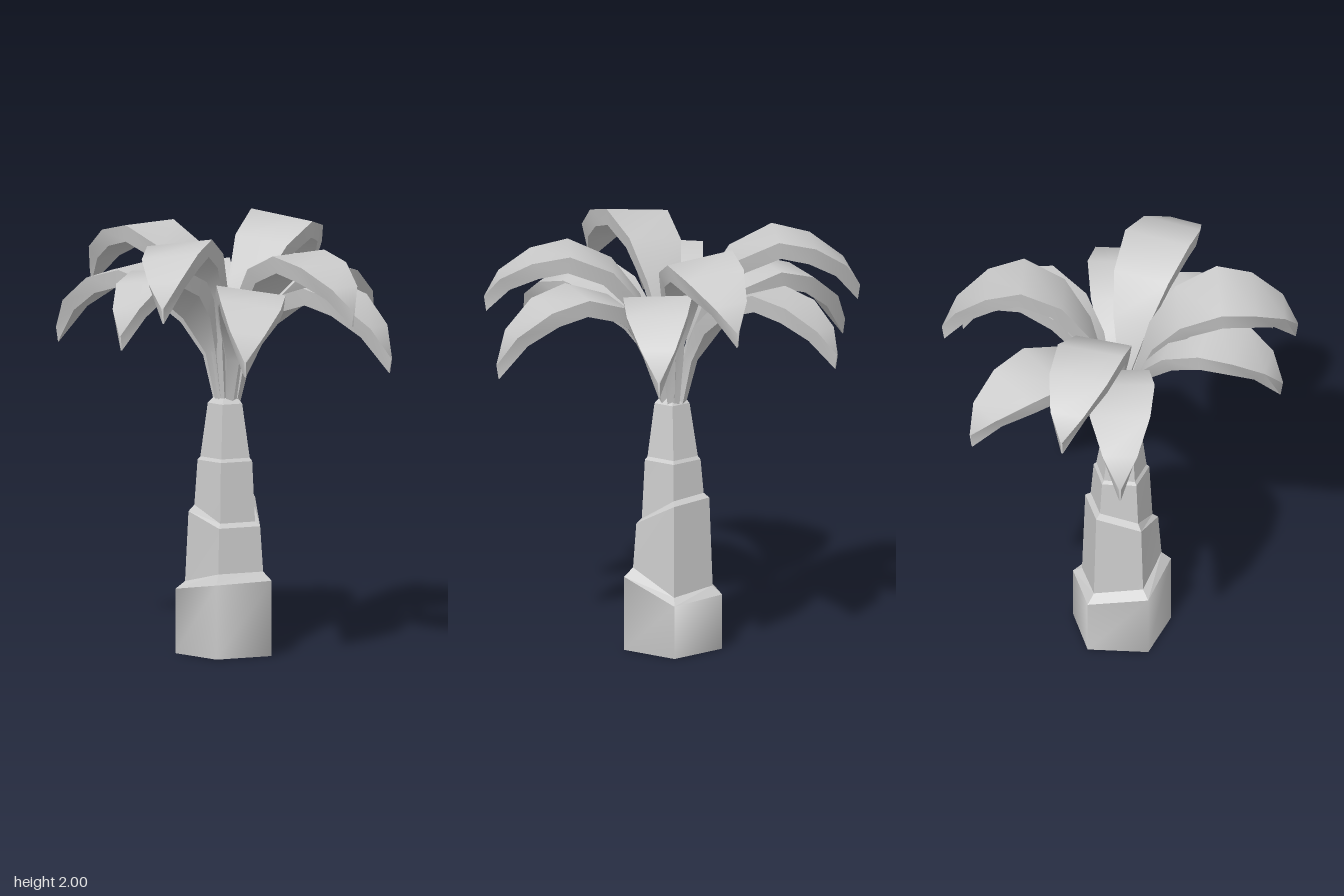
import * as THREE from 'three';
import { toCreasedNormals } from 'three/addons/utils/BufferGeometryUtils.js';

const material = new THREE.MeshStandardMaterial({ color: 0xcccccc });

// Joins closed rings (counter-clockwise about the direction of travel) and caps both ends
function loft(rings, crease) {
  const n = rings[0].length;
  const index = [];
  for (let i = 0; i < rings.length - 1; i++) {
    for (let j = 0; j < n; j++) {
      const k = (j + 1) % n;
      const a = i * n + j, b = i * n + k, c = a + n, d = b + n;
      index.push(a, b, d, a, d, c);
    }
  }
  const last = (rings.length - 1) * n;
  for (let j = 1; j < n - 1; j++) {
    index.push(0, j + 1, j, last, last + j, last + j + 1);
  }
  const geometry = new THREE.BufferGeometry().setFromPoints(rings.flat());
  geometry.setIndex(index);
  return toCreasedNormals(geometry, crease);
}

function addMesh(parent, name, geometry) {
  const mesh = new THREE.Mesh(geometry, material);
  mesh.name = name;
  parent.add(mesh);
  return mesh;
}

// Five-sided trunk ring with its own height at each corner
function trunkRing(radius, heights, cz = 0.004) {
  return [4, -68, -140, -212, -284].map((deg, i) => {
    const a = THREE.MathUtils.degToRad(deg);
    const y = Array.isArray(heights) ? heights[i] : heights;
    return new THREE.Vector3(radius * Math.cos(a), y, cz + radius * Math.sin(a));
  });
}

// Arched frond along +x: narrow stem, broad blade, pointed tip; bow curves it sideways
function frondGeometry(reach, peak, tip, roll, bow) {
  const foot = 1.14;
  const rise = peak - foot;
  const drop = peak - tip;
  // distance out, height, half width, thickness
  const stations = [
    [0.02, foot, 0.015, 0.035],
    [0.08, foot + rise * 0.4, 0.032, 0.04],
    [0.17, foot + rise * 0.68, 0.088, 0.06],
    [0.32, foot + rise * 0.89, 0.135, 0.075],
    [0.55, peak, 0.16, 0.08],
    [0.75, peak - drop * 0.16, 0.14, 0.08],
    [0.92, peak - drop * 0.55, 0.08, 0.07],
    [1, peak - drop, 0.004, 0.07],
  ];
  const spine = stations.map(([f, y]) => new THREE.Vector2(f * reach, y));
  const end = spine.length - 1;
  const rings = stations.map(([f, , w, t], i) => {
    const p = spine[i];
    // The tip is cut off upright
    const along = i === end
      ? new THREE.Vector2(1, -0.15).normalize()
      : spine[i + 1].clone().sub(spine[Math.max(i - 1, 0)]).normalize();
    const side = bow * Math.sin(Math.PI * f);
    const corner = (depth, z) => new THREE.Vector3(
      p.x + along.y * depth, p.y - along.x * depth - z * roll, z + side);
    return [corner(0, -w), corner(0, w), corner(t, w * 0.93), corner(t, -w * 0.93)];
  });
  return loft(rings, 0.75);
}

export function createModel() {
  const group = new THREE.Group();
  group.name = 'palmTree';

  // Trunk: smooth base, then stepped tiers with slanted rims
  const trunk = new THREE.Group();
  trunk.name = 'trunk';
  group.add(trunk);
  const rim = [0.35, 0.25, 0.26, 0.3, 0.345];
  addMesh(trunk, 'trunkBase', loft([trunkRing(0.238, 0), trunkRing(0.238, rim)], 1.3));
  addMesh(trunk, 'trunkTiers', loft([
    trunkRing(0.238, rim),
    trunkRing(0.193, [0.39, 0.28, 0.3, 0.335, 0.39]),
    trunkRing(0.177, [0.6, 0.71, 0.72, 0.66, 0.6]),
    trunkRing(0.15, [0.62, 0.73, 0.74, 0.69, 0.62]),
    trunkRing(0.135, 0.9),
    trunkRing(0.122, 0.915),
    trunkRing(0.085, 1.165, 0.01),
    trunkRing(0.06, 1.19, 0.01),
  ], 0.1));

  // Crown: tip x, tip z, peak height, tip height, sideways roll, sideways bow
  const fronds = [
    [0.04, -0.82, 1.98, 1.71, 0.12, 0.045],
    [0.4, -0.73, 1.8, 1.49, 0.05, 0.035],
    [0.865, 0.055, 1.745, 1.43, 0, -0.02],
    [0.805, 0.33, 1.91, 1.68, 0, -0.01],
    [0.43, 0.71, 1.75, 1.47, -0.16, -0.065],
    [0.06, 0.82, 1.965, 1.71, 0.15, 0.06],
    [-0.19, 0.75, 1.82, 1.56, 0.1, 0.06],
    [-0.87, 0.0, 1.77, 1.46, 0, 0],
    [-0.825, -0.27, 1.955, 1.7, 0.02, -0.015],
    [-0.52, -0.69, 1.75, 1.51, -0.1, -0.05],
  ];
  const crown = new THREE.Group();
  crown.name = 'crown';
  group.add(crown);
  fronds.forEach(([x, z, peak, tip, roll, bow], i) => {
    const frond = addMesh(crown, `frond${i + 1}`, frondGeometry(Math.hypot(x, z), peak, tip, roll, bow));
    frond.rotation.y = Math.atan2(-z, x);
  });

  return group;
}
